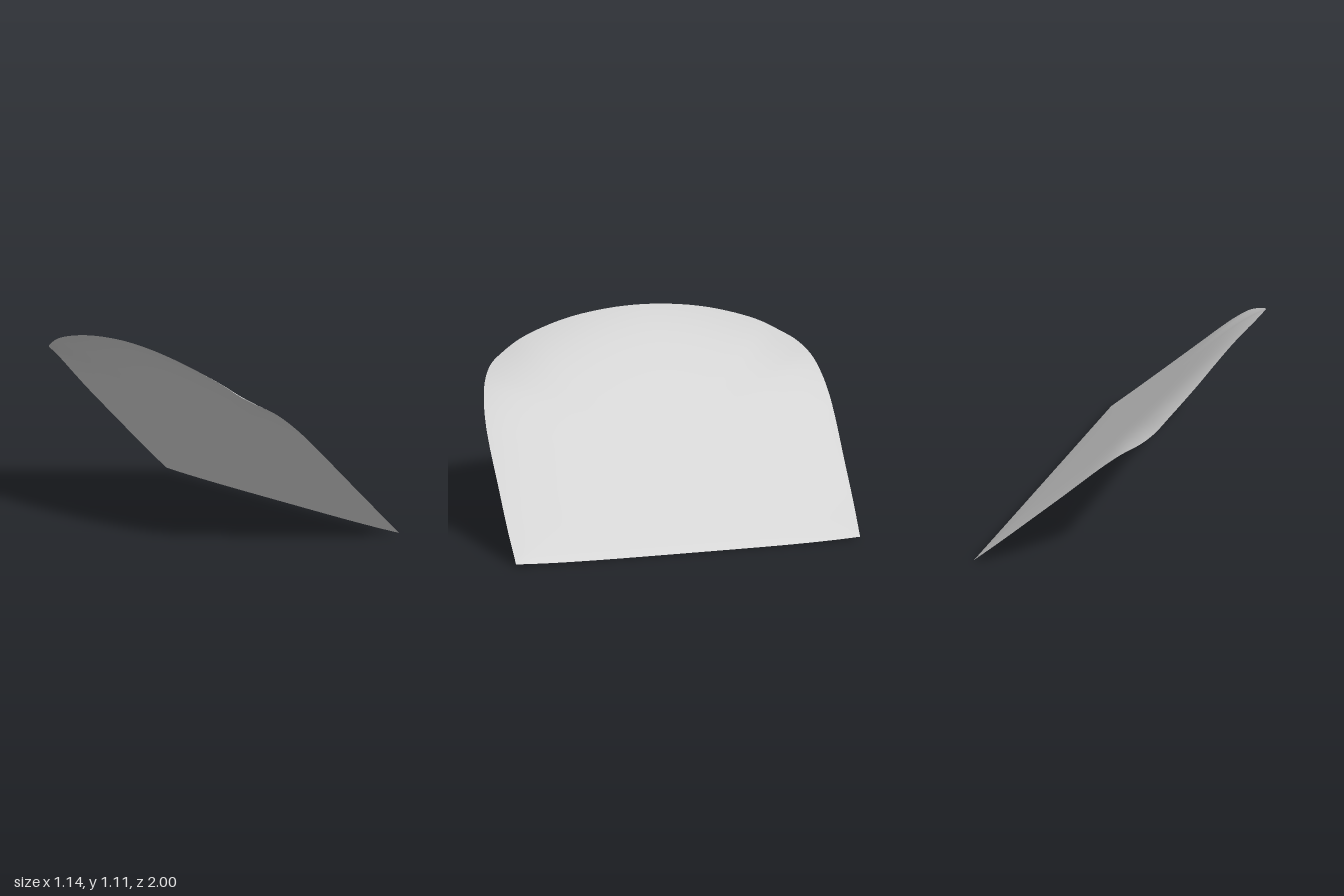
import * as THREE from 'three';
import { ParametricGeometry } from 'three/addons/geometries/ParametricGeometry.js';
import { mergeVertices } from 'three/addons/utils/BufferGeometryUtils.js';

// Half of the rim, from a lower corner to the top middle
const halfRim = [
  [0.563, 0.012, 0.995], [0.4, 0.165, 1], [0.2, 0.357, 1], [0, 0.55, 1],
  [-0.1, 0.648, 0.994], [-0.2, 0.742, 0.976], [-0.3, 0.825, 0.942],
  [-0.4, 0.886, 0.88], [-0.45, 0.925, 0.81], [-0.5, 0.99, 0.68],
  [-0.55, 1.06, 0.44], [-0.569, 1.095, 0.22], [-0.574, 1.107, 0],
].map((p) => new THREE.Vector3(...p));
const mirrored = halfRim.slice(0, -1).reverse().map((p) => new THREE.Vector3(p.x, p.y, -p.z));
const rim = new THREE.CatmullRomCurve3([...halfRim, ...mirrored], false, 'centripetal');
rim.arcLengthDivisions = 1000;

// The sheet lies in a plane tilted by 45 degrees; its rim bends below that plane
const normal = new THREE.Vector3(1, 1, 0).normalize();
const centre = new THREE.Vector3(0.1, 0.477, 0);
const sideShare = 0.8;

function rimPoint(u) {
  if (u <= sideShare) return rim.getPointAt(u / sideShare);
  // Slightly bowed straight lower edge
  const t = -1 + (2 * (u - sideShare)) / (1 - sideShare);
  return new THREE.Vector3(0.571 - 0.008 * t ** 4, 0.012 * t ** 4, 0.995 * t);
}

function sheetPoint(u, v, target) {
  const s = 1 - (1 - v) ** 2; // rows gather toward the rim
  const edge = rimPoint(u);
  const drop = centre.clone().sub(edge).dot(normal);
  edge.addScaledVector(normal, drop);
  target.lerpVectors(centre, edge, s).addScaledVector(normal, -drop * s ** 6);
}

export function createModel() {
  const group = new THREE.Group();
  group.name = 'curvedSheet';

  let geometry = new ParametricGeometry(sheetPoint, 200, 32);
  geometry.deleteAttribute('normal');
  geometry.deleteAttribute('uv');
  geometry = mergeVertices(geometry, 1e-5);
  geometry.computeVertexNormals();

  const sheet = new THREE.Mesh(
    geometry,
    new THREE.MeshStandardMaterial({ color: 0xcccccc, side: THREE.DoubleSide })
  );
  sheet.name = 'sheet';
  group.add(sheet);
  return group;
}
